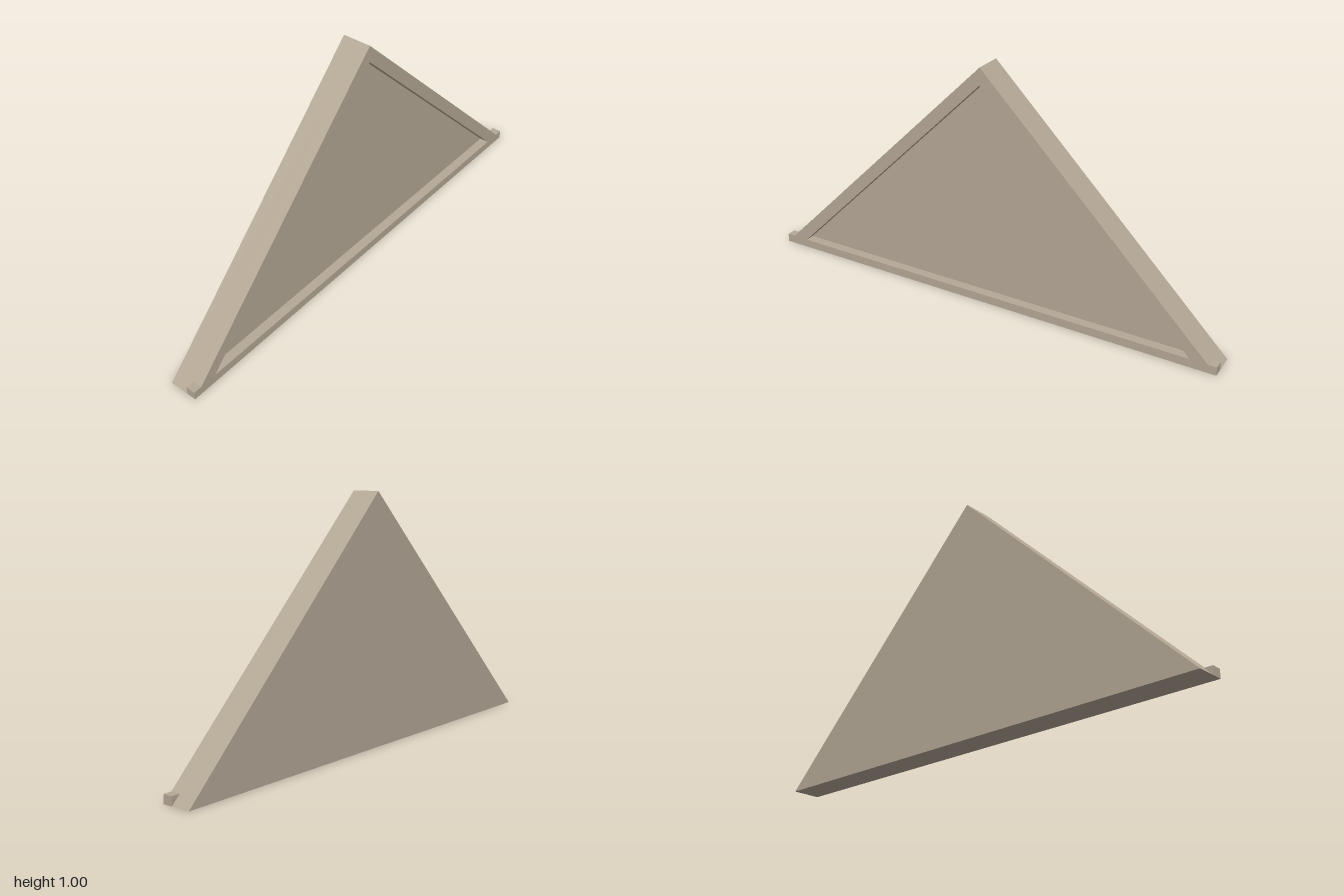
import * as THREE from 'three';

const shapeFrom = (pts, Type = THREE.Shape) => new Type(pts.map(([x, y]) => new THREE.Vector2(x, y)));

export function createModel() {
  const model = new THREE.Group();
  model.name = 'pediment';
  const stone = new THREE.MeshStandardMaterial({ color: 0xb5a896 });
  stone.name = 'stone';

  const addSlab = (name, shape, z0, z1) => {
    const geometry = new THREE.ExtrudeGeometry(shape, { depth: z1 - z0, bevelEnabled: false });
    geometry.translate(0, 0, z0);
    const mesh = new THREE.Mesh(geometry, stone);
    mesh.name = name;
    model.add(mesh);
  };

  // Solid triangular panel, whose front is the recessed field
  addSlab('panel', shapeFrom([[-1, 0], [1, 0], [0, 1]]), -0.06, 0.02);

  // Raised border with a small square stop at each lower corner
  const t = 0.035;
  const border = shapeFrom([[-1, 0], [1, 0], [1, t], [1 - t, t], [0, 1], [t - 1, t], [-1, t]]);
  border.holes.push(shapeFrom([[-0.895, t], [0, 0.93], [0.895, t]], THREE.Path));
  addSlab('border', border, 0.02, 0.06);

  return model;
}
